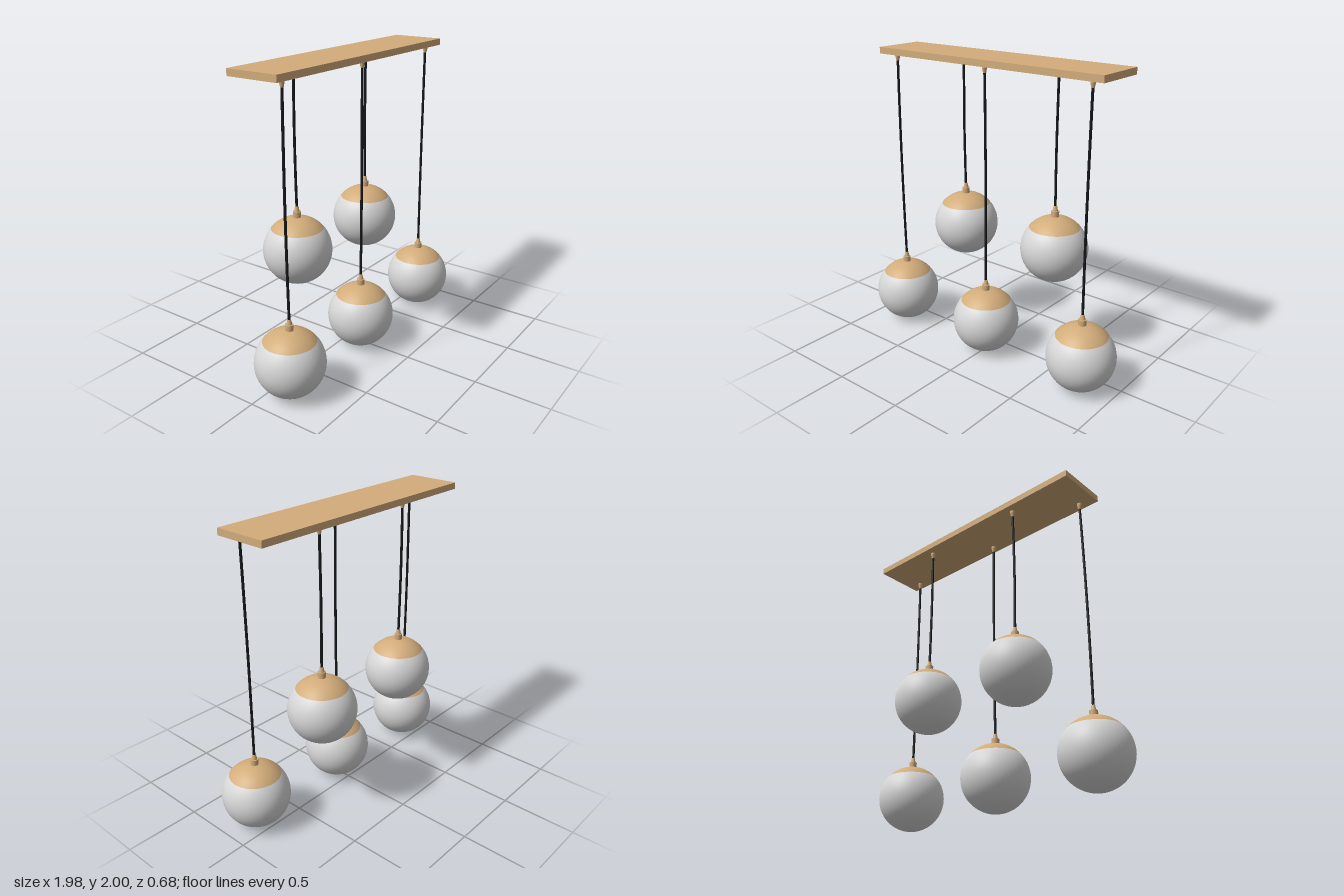
import * as THREE from 'three';

const wood = new THREE.MeshStandardMaterial({ color: 0xd2ac7a });
wood.name = 'wood';
const glass = new THREE.MeshStandardMaterial({ color: 0xd6d6d6 });
glass.name = 'frosted glass';
const black = new THREE.MeshStandardMaterial({ color: 0x15171a });
black.name = 'black cable';

const R = 0.223;          // globe radius
const CAP = 0.85;         // polar angle where the wooden cap ends
const PLATE_BOTTOM = 1.957;

function add(group, name, geometry, material, y = 0) {
  const mesh = new THREE.Mesh(geometry, material);
  mesh.name = name;
  mesh.position.y = y;
  group.add(mesh);
  return mesh;
}

// One hanging lamp: ferrule, cable, socket, cap and globe
function createPendant(x, y, z, bow) {
  const pendant = new THREE.Group();
  pendant.name = 'pendant';
  pendant.position.set(x, 0, z);

  add(pendant, 'globe', new THREE.SphereGeometry(R, 48, 32, 0, Math.PI * 2, CAP, Math.PI - CAP), glass, y);
  add(pendant, 'cap', new THREE.SphereGeometry(R, 48, 16, 0, Math.PI * 2, 0, CAP), wood, y);

  // Stepped socket above the globe
  const top = y + R;
  add(pendant, 'socketBase', new THREE.CylinderGeometry(0.026, 0.026, 0.042, 24), wood, top + 0.015);
  add(pendant, 'socketNeck', new THREE.CylinderGeometry(0.011, 0.018, 0.034, 24), wood, top + 0.053);

  // Ferrule under the ceiling plate
  add(pendant, 'ferruleCollar', new THREE.CylinderGeometry(0.016, 0.016, 0.014, 24), wood, PLATE_BOTTOM - 0.007);
  add(pendant, 'ferruleTip', new THREE.CylinderGeometry(0.016, 0.010, 0.030, 24), wood, PLATE_BOTTOM - 0.029);

  // Cable with a slight sideways bow
  const y0 = top + 0.05, y1 = PLATE_BOTTOM - 0.02;
  const path = new THREE.CatmullRomCurve3([0, 0.2, 0.5, 0.8, 1].map(
    (t) => new THREE.Vector3(bow * Math.sin(Math.PI * t), y0 + (y1 - y0) * t, 0)));
  add(pendant, 'cable', new THREE.TubeGeometry(path, 24, 0.0085, 10), black);
  return pendant;
}

export function createModel() {
  const model = new THREE.Group();
  model.name = 'pendantLight';

  // Ceiling plate
  const plate = add(model, 'ceilingPlate', new THREE.BoxGeometry(1.746, 2 - PLATE_BOTTOM, 0.355), wood, (2 + PLATE_BOTTOM) / 2);
  plate.position.x = -0.004;
  plate.position.z = -0.002;

  // Low lamps in front, high lamps behind
  const low = R, high = 0.777;
  [
    [-0.768, low, 0.118, -0.007],
    [-0.384, high, -0.118, -0.006],
    [-0.009, low, 0.118, 0.004],
    [0.380, high, -0.118, -0.004],
    [0.765, low, 0.118, -0.004],
  ].forEach((p) => model.add(createPendant(...p)));

  return model;
}
